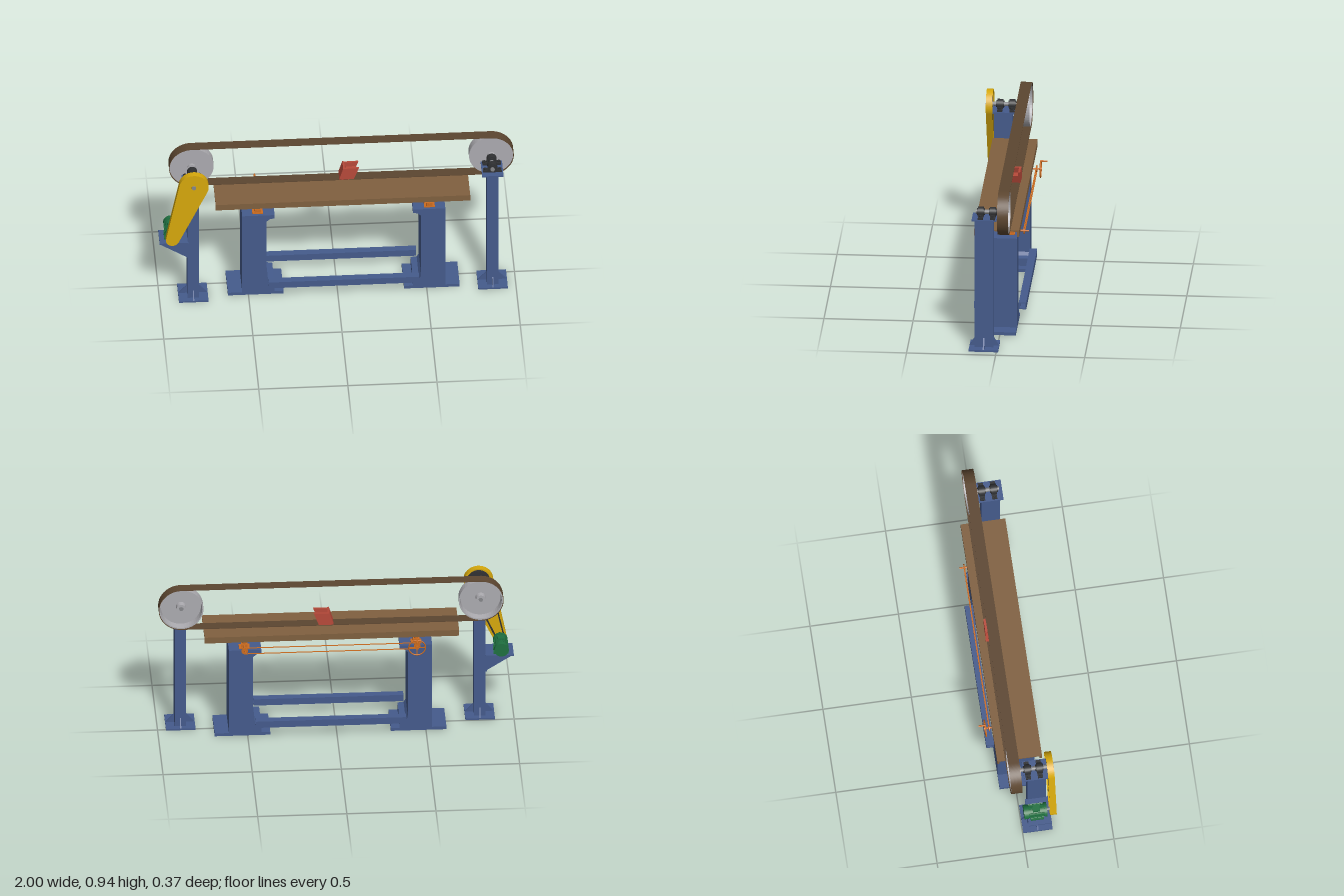
import * as THREE from 'three';

const mat = (name, color) => Object.assign(new THREE.MeshStandardMaterial({ color }), { name });

export function createModel() {
  const root = new THREE.Group();
  root.name = 'beltGrinder';
  const blue = mat('blue paint', 0x455b8c), yellow = mat('yellow paint', 0xd6a80c);
  const wood = mat('table brown', 0x80603f), beltBrown = mat('belt brown', 0x5c4630);
  const orange = mat('orange', 0xcc6c20), red = mat('red', 0xb84a3a);
  const green = mat('motor green', 0x1f7040), grey = mat('wheel grey', 0xacabb0);
  const black = mat('black', 0x303133), steel = mat('shaft steel', 0x86878a);

  const add = (name, geo, m) => {
    const mesh = new THREE.Mesh(geo, m);
    mesh.name = name;
    root.add(mesh);
    return mesh;
  };
  // Box given by its minimum and maximum on each axis
  const box = (name, m, x0, x1, y0, y1, z0, z1) =>
    add(name, new THREE.BoxGeometry(x1 - x0, y1 - y0, z1 - z0)
      .translate((x0 + x1) / 2, (y0 + y1) / 2, (z0 + z1) / 2), m);
  const cylZ = (name, m, x, y, r, z0, z1, n = 32) =>
    add(name, new THREE.CylinderGeometry(r, r, z1 - z0, n).rotateX(Math.PI / 2)
      .translate(x, y, (z0 + z1) / 2), m);
  const cylY = (name, m, x, z, r, y0, y1, n = 20) =>
    add(name, new THREE.CylinderGeometry(r, r, y1 - y0, n).translate(x, (y0 + y1) / 2, z), m);
  const extrude = (name, m, shape, z0, z1) =>
    add(name, new THREE.ExtrudeGeometry(shape, { depth: z1 - z0, bevelEnabled: false, curveSegments: 32 })
      .translate(0, 0, z0), m);
  const poly = (pts) => new THREE.Shape(pts.map(([x, y]) => new THREE.Vector2(x, y)));
  // Outline wrapped around two circles
  const wrap = (x1, y1, r1, x2, y2, r2, Type = THREE.Shape) => {
    const a = Math.atan2(y2 - y1, x2 - x1);
    const b = Math.acos((r1 - r2) / Math.hypot(x2 - x1, y2 - y1));
    const s = new Type();
    s.absarc(x1, y1, r1, a + b, a - b + Math.PI * 2, false);
    s.absarc(x2, y2, r2, a - b, a + b, false);
    s.closePath();
    return s;
  };
  const ring = (x1, y1, r1, x2, y2, r2, t) => {
    const s = wrap(x1, y1, r1, x2, y2, r2);
    s.holes.push(wrap(x1, y1, r1 - t, x2, y2, r2 - t, THREE.Path));
    return s;
  };

  const XL = -0.81, XR = 0.87, WY = 0.81;

  // Grinding belt around both wheels
  extrude('grindingBelt', beltBrown, ring(XL, WY, 0.127, XR, WY, 0.127, 0.003), -0.07, -0.007);

  // Dished wheels: web towards the front, open at the back
  const wheelProfile = [
    [0, -0.014], [0.124, -0.014], [0.124, -0.066], [0.117, -0.066], [0.113, -0.024],
    [0.028, -0.024], [0.026, -0.055], [0, -0.055],
  ].map(([r, z]) => new THREE.Vector2(r, z));
  for (const x of [XL, XR]) {
    const g = new THREE.LatheGeometry(wheelProfile.reverse(), 48).toNonIndexed();
    wheelProfile.reverse();
    g.rotateX(Math.PI / 2).translate(x, WY, 0);
    g.computeVertexNormals();
    const m = add('wheel', g, grey);
    m.material.side = THREE.DoubleSide;
    cylZ('wheelHub', grey, x, WY, 0.024, -0.015, 0.0);
  }

  // Columns with feet, gussets, bearings and shaft
  const column = (x, zc, shaftEnd) => {
    box('column', blue, x - 0.032, x + 0.032, 0, 0.772, zc - 0.0525, zc + 0.0525);
    box('columnFoot', blue, x - 0.083, x + 0.083, 0, 0.01, zc - 0.083, zc + 0.083);
    box('columnTopPlate', blue, x - 0.06, x + 0.06, 0.772, 0.78, zc - 0.072, zc + 0.068);
    for (const s of [-1, 1]) {
      const side = s > 0 ? [[0.03, 0.01], [0.08, 0.01], [0.03, 0.066]]
        : [[-0.03, 0.01], [-0.03, 0.066], [-0.08, 0.01]];
      extrude('footGusset', blue, poly(side.map(([a, b]) => [x + a, b])), zc - 0.004, zc + 0.004);
      const g = extrude('footGusset', blue, poly([[0.05, 0.01], [0.082, 0.01], [0.05, 0.066]]), -0.003, 0.003);
      g.rotation.y = -s * Math.PI / 2;
      g.position.set(x, 0, zc);
      const bz = zc - 0.0145 + s * 0.034;
      box('bearingBase', black, x - 0.052, x + 0.052, 0.78, 0.792, bz - 0.014, bz + 0.014);
      box('bearingBody', black, x - 0.027, x + 0.027, 0.79, WY, bz - 0.016, bz + 0.016);
      cylZ('bearingHousing', black, x, WY, 0.028, bz - 0.016, bz + 0.016);
      cylZ('bearingCollar', black, x, WY, 0.02, bz - 0.022, bz + 0.022);
      for (const t of [-1, 1]) cylY('bearingBolt', black, x + t * 0.04, bz, 0.007, 0.79, 0.802, 6);
    }
    cylZ('shaft', steel, x, WY, 0.012, -0.058, shaftEnd);
  };
  column(XL, 0.0865, 0.187);
  column(XR, 0.0725, 0.122);

  // Motor shelf with side brackets
  box('motorShelf', blue, -1, -0.84, 0.396, 0.404, 0.02, 0.15);
  for (const z of [0.03, 0.14])
    extrude('shelfBracket', blue, poly([[-0.995, 0.397], [-0.842, 0.3], [-0.842, 0.397]]), z, z + 0.01);
  box('shelfBackPlate', blue, -0.85, -0.838, 0.3, 0.4, 0.02, 0.15);

  // Motor with cooling fins
  const MX = -0.93, MY = 0.447;
  cylZ('motorBody', green, MX, MY, 0.036, 0.0, 0.13);
  cylZ('motorFanCover', green, MX, MY, 0.041, 0.0, 0.025);
  cylZ('motorFlange', green, MX, MY, 0.041, 0.115, 0.13);
  for (let i = 0; i < 16; i++) {
    const f = add('motorFin', new THREE.BoxGeometry(0.006, 0.003, 0.08).translate(0.038, 0, 0.07), green);
    f.position.set(MX, MY, 0);
    f.rotation.z = i * Math.PI / 8;
  }
  box('motorTerminalBox', green, MX - 0.02, MX + 0.02, 0.478, 0.495, 0.05, 0.09);
  box('motorFeet', green, MX - 0.042, MX + 0.042, 0.403, 0.414, 0.035, 0.11);
  cylZ('motorShaft', steel, MX, MY, 0.008, 0.13, 0.175);

  // Drive guard, open at the rear, with pulleys and drive belt inside
  extrude('guardRim', yellow, ring(XL, WY, 0.083, MX, MY, 0.037, 0.006), 0.145, 0.178);
  const face = wrap(XL, WY, 0.083, MX, MY, 0.037);
  const hole = new THREE.Path();
  hole.absarc(XL, WY, 0.013, 0, Math.PI * 2, true);
  face.holes.push(hole);
  extrude('guardFace', yellow, face, 0.177, 0.182);
  extrude('driveBelt', black, ring(XL, WY, 0.064, MX, MY, 0.026, 0.007), 0.152, 0.166);
  cylZ('largePulley', black, XL, WY, 0.058, 0.15, 0.168);
  cylZ('smallPulley', black, MX, MY, 0.02, 0.15, 0.168);

  // Table: inverted channel
  box('tableTop', wood, -0.685, 0.743, 0.645, 0.652, -0.113, 0.14);
  box('tableSkirtBack', wood, -0.685, 0.743, 0.615, 0.646, -0.113, -0.1);
  box('tableSkirtFront', wood, -0.685, 0.743, 0.615, 0.646, 0.127, 0.14);

  // Pedestals, mirrored about the table centre
  const CX = 0.035;
  for (const s of [-1, 1]) {
    const pts = [[0.57, 0.01], [0.57, 0.55], [0.388, 0.55], [0.388, 0.527], [0.415, 0.522],
      [0.434, 0.505], [0.434, 0.085], [0.422, 0.066], [0.388, 0.062], [0.388, 0.01]]
      .map(([x, y]) => [CX + s * x, y]);
    extrude('pedestal', blue, poly(pts), -0.09, 0.118);
    const e = [CX + s * 0.338, CX + s * 0.65].sort((a, b) => a - b);
    box('pedestalFoot', blue, e[0], e[1], 0, 0.018, -0.09, 0.118);

    // Lifting screws under a cross bar
    const jx = CX + s * 0.482;
    box('crossBar', orange, jx - 0.03, jx + 0.03, 0.614, 0.645, -0.1, 0.127);
    for (const z of [-0.05, 0.078]) {
      box('jackBase', orange, jx - 0.03, jx + 0.03, 0.55, 0.555, z - 0.024, z + 0.024);
      box('jackBody', orange, jx - 0.018, jx + 0.018, 0.555, 0.576, z - 0.018, z + 0.018);
      cylY('jackCollar', orange, jx, z, 0.012, 0.576, 0.584);
      cylY('jackScrew', orange, jx, z, 0.006, 0.58, 0.61);
      cylY('jackFlange', orange, jx, z, 0.021, 0.608, 0.615);
    }
    cylZ('jackShaft', orange, jx, 0.566, 0.005, -0.153, 0.1, 16);
    cylZ('sprocket', orange, jx, 0.566, 0.017, -0.128, -0.122, 20);
  }
  extrude('liftChain', orange, ring(CX - 0.482, 0.566, 0.02, CX + 0.482, 0.566, 0.02, 0.003), -0.128, -0.122);

  // Handwheel with spokes and crank grip
  const HX = CX - 0.482;
  add('handwheelRim', new THREE.TorusGeometry(0.047, 0.0035, 8, 32).translate(HX, 0.566, -0.147), orange);
  box('handwheelSpoke', orange, HX - 0.046, HX + 0.046, 0.563, 0.569, -0.149, -0.145);
  box('handwheelSpoke', orange, HX - 0.003, HX + 0.003, 0.52, 0.612, -0.149, -0.145);
  cylZ('handwheelHub', orange, HX, 0.566, 0.01, -0.154, -0.14, 20);
  cylZ('handwheelGrip', orange, HX, 0.613, 0.005, -0.185, -0.145, 16);

  // Hollow tie beams between the pedestals
  const tube = poly([[-0.021, -0.02], [0.021, -0.02], [0.021, 0.02], [-0.021, 0.02]]);
  tube.holes.push(poly([[-0.015, -0.014], [-0.015, 0.014], [0.015, 0.014], [0.015, -0.014]]));
  for (const z of [-0.111, 0.139]) {
    const beam = extrude('tieBeam', blue, tube, -0.387, 0.455);
    beam.rotation.y = Math.PI / 2;
    beam.position.set(0, 0.09, z);
  }

  // Tilted workpiece holder on the belt
  const outline = poly([[0.03, 0.686], [0.1, 0.69], [0.128, 0.764], [0.045, 0.762], [0.018, 0.7]]);
  for (const z of [-0.074, -0.016]) extrude('holderCheek', red, outline, z, z + 0.012);
  extrude('holderBlock', red, poly([[0.04, 0.688], [0.095, 0.69], [0.112, 0.735], [0.055, 0.735]]), -0.064, -0.014);
  const jaw = add('holderJaw', new THREE.BoxGeometry(0.01, 0.075, 0.074), red);
  jaw.position.set(0.033, 0.727, -0.039);
  jaw.rotation.z = -0.3;

  return root;
}
